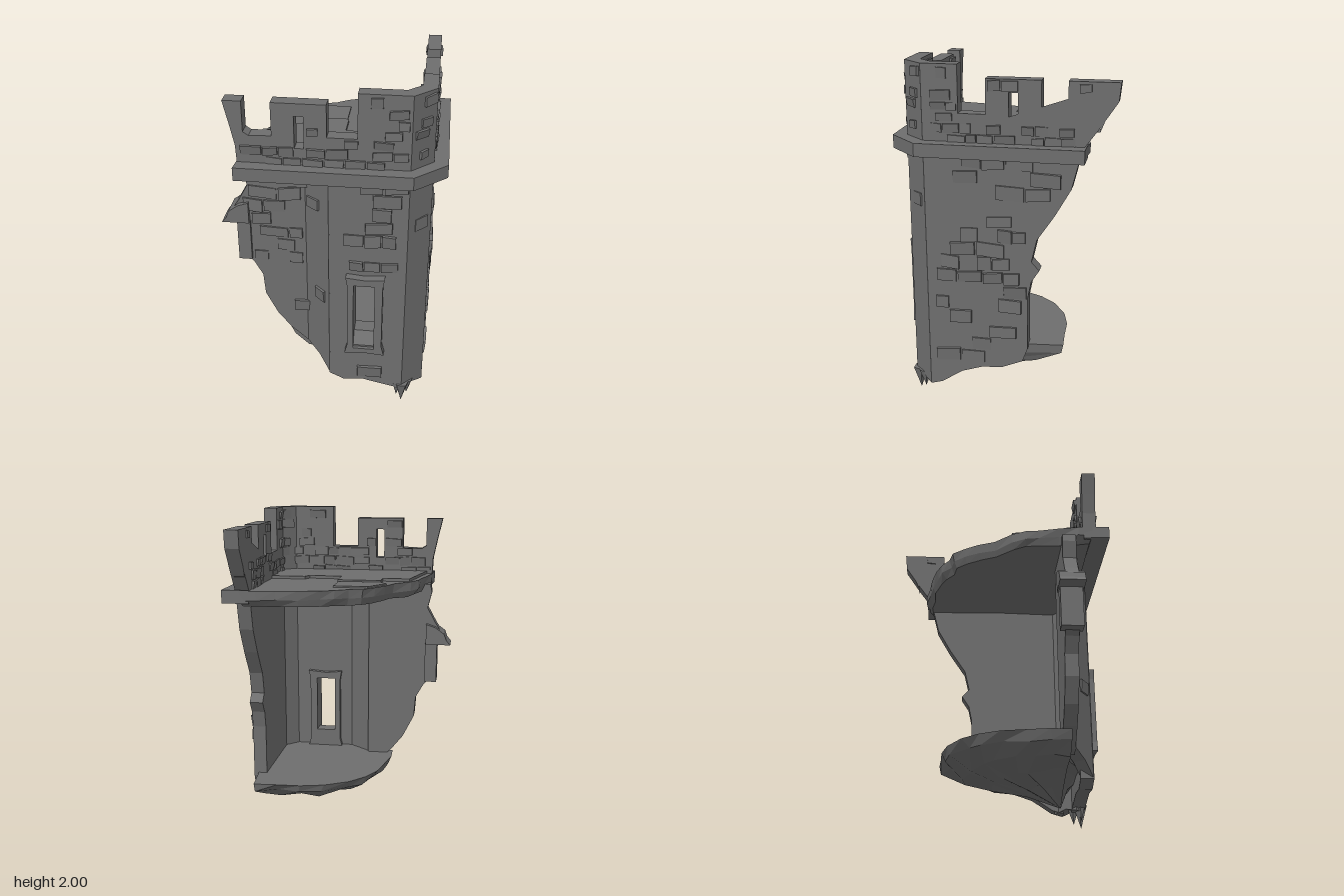
import * as THREE from 'three';
import { mergeGeometries } from 'three/addons/utils/BufferGeometryUtils.js';

const stone = new THREE.MeshStandardMaterial({ color: 0x6e6e6e });
stone.name = 'grey stone';

let seed = 7;
const rnd = () => (seed = (seed * 16807) % 2147483647) / 2147483647;
const vary = (a, b) => a + (b - a) * rnd();

function inside(poly, x, y) {
  let hit = false;
  for (let i = 0, j = poly.length - 1; i < poly.length; j = i++) {
    const [xi, yi] = poly[i], [xj, yj] = poly[j];
    if ((yi > y) !== (yj > y) && x < ((xj - xi) * (y - yi)) / (yj - yi) + xi) hit = !hit;
  }
  return hit;
}
const rect = (x0, y0, x1, y1) => [[x0, y0], [x1, y0], [x1, y1], [x0, y1]];

function slab(outline, holes, depth) {
  const toV = (p) => p.map(([x, y]) => new THREE.Vector2(x, y));
  const shape = new THREE.Shape(toV(outline));
  holes.forEach((h) => shape.holes.push(new THREE.Path(toV(h))));
  return new THREE.ExtrudeGeometry(shape, { depth, bevelEnabled: false });
}

// One raised, slightly uneven stone on a wall face
function brick(x, y, w, h, z, side) {
  const g = new THREE.BoxGeometry(w, h, 0.03).toNonIndexed();
  const p = g.attributes.position;
  const tiltX = vary(-0.006, 0.006) / w, tiltY = vary(-0.004, 0.01) / h;
  const out = vary(0.006, 0.014), skew = vary(-0.1, 0.1);
  for (let i = 0; i < p.count; i++) {
    const px = p.getX(i), py = p.getY(i), front = p.getZ(i) * side > 0;
    const depth = front ? out + px * tiltX + py * tiltY : -0.01;
    const k = front ? 0.95 : 1;
    p.setXYZ(i, x + px * k, y + py * k + px * skew, z + side * depth);
  }
  g.computeVertexNormals();
  return g;
}

// Courses of scattered stones that stay inside the outline and clear of the holes
function bricks(outline, holes, z, side, size, chance) {
  const xs = outline.map((p) => p[0]), ys = outline.map((p) => p[1]);
  const list = [];
  for (let y = Math.min(...ys) + size / 2; y < Math.max(...ys); y += size * 0.98) {
    let x = Math.min(...xs) - rnd() * size;
    while (x < Math.max(...xs)) {
      const w = size * vary(0.9, 2.1), h = size * vary(0.7, 1.0), cx = x + w / 2;
      const pts = [];
      for (const a of [-0.5, 0, 0.5]) for (const b of [-0.5, 0, 0.5]) pts.push([cx + a * w, y + b * h]);
      const fits = pts.every(([a, b]) => inside(outline, a, b) && !holes.some((q) => inside(q, a, b)));
      if (rnd() < chance && fits) list.push(brick(cx, y, w * 0.96, h, z, side));
      x += w;
    }
  }
  return list;
}

// Upright wall: local x runs along the wall, local z points outward
function wall(name, origin, dir, outline, { holes = [], t = 0.08, size = 0.085, chance = 0.55, back = false } = {}) {
  const group = new THREE.Group();
  group.name = name;
  const body = new THREE.Mesh(slab(outline, holes, t).translate(0, 0, -t), stone);
  body.name = name + 'Core';
  group.add(body);
  const list = bricks(outline, holes, 0, 1, size, chance);
  if (back) list.push(...bricks(outline, holes, -t, -1, size, chance));
  if (list.length) {
    const relief = new THREE.Mesh(mergeGeometries(list), stone);
    relief.name = name + 'Stones';
    group.add(relief);
  }
  group.position.set(origin[0], 0, origin[1]);
  group.rotation.y = Math.atan2(-dir[1], dir[0]);
  return group;
}

// Faceted slab: rings of an x,z outline shrunk towards a centre, capped at both ends
function rock(name, outline, centre, rings, endY, rough) {
  const n = outline.length, pos = [], idx = [];
  rings.forEach(([s, y], r) => outline.forEach(([x, z]) => {
    const j = r ? rough : 0;
    pos.push(centre[0] + (x - centre[0]) * s * (1 + vary(-j, j)), y + vary(-j, j) * 0.4,
      centre[1] + (z - centre[1]) * s * (1 + vary(-j, j)));
  }));
  pos.push(centre[0], rings[0][1], centre[1], centre[0], endY, centre[1]);
  const top = n * rings.length, last = n * (rings.length - 1);
  for (let i = 0; i < n; i++) {
    const k = (i + 1) % n;
    idx.push(top, i, k, top + 1, last + k, last + i);
    for (let r = 0; r < rings.length - 1; r++) {
      const a = r * n + i, b = r * n + k;
      idx.push(a, a + n, b, b, a + n, b + n);
    }
  }
  const g = new THREE.BufferGeometry();
  g.setAttribute('position', new THREE.Float32BufferAttribute(pos, 3));
  g.setIndex(idx);
  const flat = g.toNonIndexed();
  flat.computeVertexNormals();
  const mesh = new THREE.Mesh(flat, stone);
  mesh.name = name;
  return mesh;
}

export function createModel() {
  seed = 7;
  const model = new THREE.Group();
  model.name = 'ruinedTowerCorner';
  const add = (name, geo, x = 0, y = 0, z = 0) => {
    const m = new THREE.Mesh(geo, stone);
    m.name = name;
    m.position.set(x, y, z);
    model.add(m);
    return m;
  };
  const F = 0.553, R = 0.548, L = 0.43;
  const ALONG_X = [1, 0], BACKWARD = [0, -1], BEND = [0.15, 0.123], CHAMFER = [0.118, -0.123];

  // Main walls
  const window = rect(0.14, 0.43, 0.26, 0.87), frameZone = rect(0.09, 0.38, 0.32, 0.93);
  const frontOutline = [[-0.005, 1.53], [-0.005, 0.19], [0.08, 0.15], [0.2, 0.16], [0.38, 0.12], [0.43, 0.1], [0.43, 1.53]];
  const front = wall('frontWall', [0, F], ALONG_X, frontOutline, { holes: [window], chance: 0 });
  const frontStones = new THREE.Mesh(mergeGeometries(bricks(frontOutline, [frameZone], 0, 1, 0.085, 0.6)), stone);
  frontStones.name = 'frontWallStones';
  front.add(frontStones);
  model.add(front);
  model.add(wall('bentWall', [-0.15, L], BEND, [[0, 1.53], [0, 0.33], [0.1, 0.28], [0.194, 0.19], [0.194, 1.53]]));
  model.add(wall('leftWall', [0, L], ALONG_X, [
    [-0.1, 1.53], [-0.49, 1.53], [-0.5, 1.48], [-0.475, 1.38], [-0.53, 1.28], [-0.57, 1.22], [-0.5, 1.15], [-0.5, 0.92],
    [-0.46, 0.88], [-0.41, 0.79], [-0.4, 0.66], [-0.33, 0.52], [-0.25, 0.42], [-0.14, 0.32], [-0.1, 0.3]], { chance: 0.6 }));
  model.add(wall('cornerWall', [0.43, F], CHAMFER, [[0, 1.53], [0, 0.1], [0.08, 0.12], [0.17, 0.1], [0.17, 1.53]], { size: 0.08 }));
  model.add(wall('rightWall', [R, 0], BACKWARD, [
    [-0.43, 1.53], [-0.43, 0.1], [-0.36, 0.12], [-0.24, 0.2], [-0.12, 0.24], [0, 0.25], [0.12, 0.3], [0.15, 0.38],
    [0.15, 0.7], [0.17, 0.8], [0.215, 0.87], [0.17, 0.92], [0.2, 1.05], [0.3, 1.2], [0.385, 1.35], [0.43, 1.53]], { chance: 0.6 }));

  // Window surround inside and out, with a stepped sill
  const frame = [[0.09, 0.39], [0.2, 0.4], [0.32, 0.39], [0.305, 0.45], [0.305, 0.86], [0.315, 0.92], [0.2, 0.91], [0.095, 0.92], [0.105, 0.86], [0.105, 0.45]];
  add('windowFrame', slab(frame, [window], 0.16), 0, 0, 0.44);
  const sill = [[0.44, 0.42], [0.58, 0.42], [0.58, 0.44], [0.53, 0.51], [0.44, 0.51]].map(([z, y]) => [-z, y]);
  add('windowSill', slab(sill, [], 0.14), 0.13).rotation.y = Math.PI / 2;

  // Remains of the side window
  add('brokenJamb', new THREE.BoxGeometry(0.075, 0.25, 0.13), -0.503, 1.03, 0.385);
  add('brokenLintel', slab([[-0.47, 1.15], [-0.47, 1.28], [-0.53, 1.26], [-0.585, 1.22], [-0.6, 1.18], [-0.625, 1.15]], [], 0.15), 0, 0, 0.31);

  // Lower floor with its torn rock underside
  model.add(rock('lowerFloor', [
    [-0.26, 0.4], [-0.14, 0.4], [0, 0.52], [0.2, 0.53], [0.42, 0.53], [0.52, 0.42], [0.52, 0.15], [0.52, -0.15], [0.5, -0.35],
    [0.36, -0.34], [0.22, -0.335], [0.08, -0.3], [-0.06, -0.22], [-0.15, -0.12], [-0.21, 0], [-0.24, 0.15], [-0.265, 0.28]],
  [0.38, 0.4], [[1, 0.4], [0.95, 0.335], [0.8, 0.27], [0.55, 0.245], [0.28, 0.2]], 0.11, 0.045));

  // Hanging shards at the lower corner
  for (const [x, z, r, h] of [[0.43, 0.53, 0.045, 0.14], [0.46, 0.49, 0.04, 0.11], [0.4, 0.53, 0.03, 0.1]]) {
    const g = new THREE.ConeGeometry(r, h, 5).rotateX(Math.PI).toNonIndexed();
    g.computeVertexNormals();
    add('cornerShard', g, x, 0.14 - h / 2, z);
  }

  // Upper floor and cornice ledge
  const brokenEdge = [[0.43, -0.47], [0.32, -0.445], [0.2, -0.43], [0.08, -0.4], [0, -0.365], [-0.07, -0.315], [-0.15, -0.295],
    [-0.21, -0.22], [-0.26, -0.14], [-0.3, -0.04], [-0.39, 0.06], [-0.43, 0.14], [-0.44, 0.22], [-0.47, 0.34], [-0.49, 0.45]];
  model.add(rock('upperFloor', [[-0.495, 0.53], [0.1, 0.53], [0.43, 0.53], [0.53, 0.43], [0.53, 0], [0.53, -0.46], ...brokenEdge],
    [0.2, 0.2], [[1, 1.583], [0.985, 1.53], [0.95, 1.49]], 1.5, 0.015));
  const ledge = [[-0.5, 0.63], [0.45, 0.63], [0.625, 0.46], [0.625, -0.46], [0.47, -0.46], [0.47, 0.4], [0.39, 0.48], [-0.49, 0.48]];
  add('cornice', slab(ledge.map(([x, z]) => [x, -z]), [], 0.075).rotateX(-Math.PI / 2), 0, 1.51, 0);

  // Worn flagstones
  const flags = [
    [[-0.22, -0.04], [0.04, -0.04], [0.04, 0.12], [0.24, 0.13], [0.26, 0.08], [0.47, 0.08], [0.47, 0.48], [-0.46, 0.48], [-0.38, 0.06], [-0.22, 0.06]],
    [[-0.17, -0.25], [0.03, -0.24], [0.03, -0.05], [-0.22, -0.05], [-0.26, -0.1]]];
  flags.forEach((f, i) => add('flagstone', slab(f.map(([x, z]) => [x, -z]), [], 0.02 - i * 0.008).rotateX(-Math.PI / 2), 0, 1.58, 0));

  // Crenellated parapet
  const opts = { size: 0.06, chance: 0.65, back: true };
  model.add(wall('frontParapet', [0, F], ALONG_X, [
    [-0.49, 1.57], [-0.495, 1.68], [-0.52, 1.8], [-0.55, 1.93], [-0.45, 1.93], [-0.45, 1.76], [-0.42, 1.74], [-0.3, 1.745], [-0.3, 1.93],
    [-0.01, 1.93], [-0.01, 1.75], [0.15, 1.75], [0.15, 2], [0.43, 2], [0.43, 1.57]],
  { ...opts, holes: [rect(-0.18, 1.68, -0.13, 1.86)] }));
  model.add(wall('cornerParapet', [0.43, F], CHAMFER, rect(0, 1.57, 0.17, 2), opts));
  model.add(wall('rightParapet', [R, 0], BACKWARD, [
    [-0.43, 1.57], [-0.43, 2], [-0.23, 2], [-0.23, 1.74], [-0.08, 1.74], [-0.08, 1.93], [0.22, 1.93], [0.22, 1.74], [0.36, 1.74],
    [0.36, 1.93], [0.63, 1.93], [0.62, 1.83], [0.52, 1.68], [0.44, 1.57]],
  { ...opts, holes: [rect(0.045, 1.67, 0.095, 1.86), rect(0.485, 1.67, 0.53, 1.86)] }));

  return model;
}
